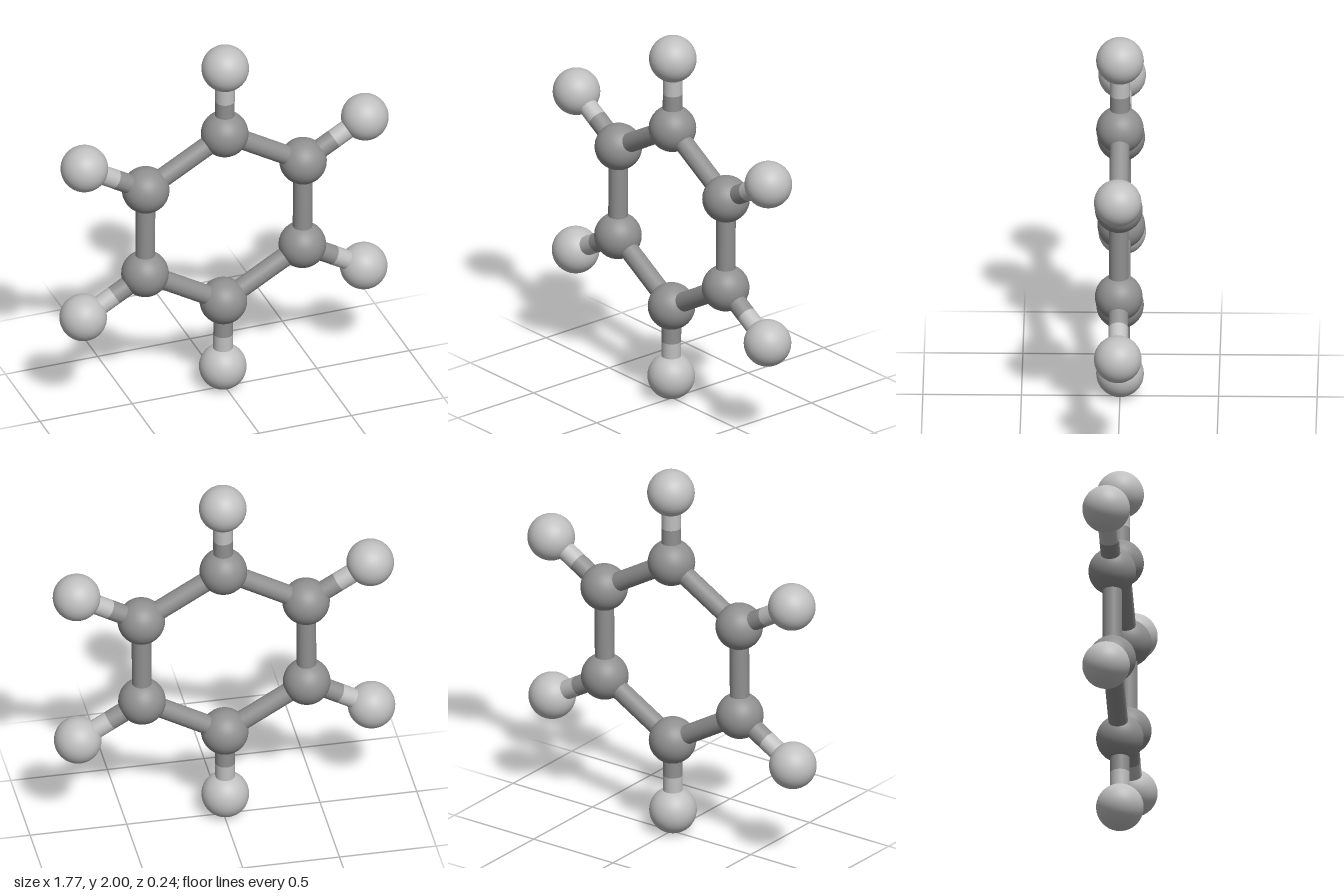
import * as THREE from 'three';

const RING_RADIUS = 0.492;
const OUTER_RADIUS = 0.877;
const BALL_RADIUS = 0.121;
const ROD_RADIUS = 0.05;
const TILT = -0.0074;

export function createModel() {
  const model = new THREE.Group();
  model.name = 'ballAndStickRing';

  const darkGrey = new THREE.MeshStandardMaterial({ color: 0x909090 });
  darkGrey.name = 'dark grey';
  const lightGrey = new THREE.MeshStandardMaterial({ color: 0xc0c0c0 });
  lightGrey.name = 'light grey';

  const ballGeometry = new THREE.SphereGeometry(BALL_RADIUS, 40, 28);

  function addBall(name, position, material) {
    const ball = new THREE.Mesh(ballGeometry, material);
    ball.name = name;
    ball.position.copy(position);
    model.add(ball);
  }

  // Straight rod between two points
  function addRod(name, from, to, material) {
    const direction = to.clone().sub(from);
    const geometry = new THREE.CylinderGeometry(ROD_RADIUS, ROD_RADIUS, direction.length(), 28, 1, true);
    const rod = new THREE.Mesh(geometry, material);
    rod.name = name;
    rod.position.copy(from).lerp(to, 0.5);
    rod.quaternion.setFromUnitVectors(new THREE.Vector3(0, 1, 0), direction.normalize());
    model.add(rod);
  }

  // Point on a circle around the ring centre, starting at the top
  function corner(index, radius) {
    const angle = Math.PI / 2 + TILT + (index * Math.PI) / 3;
    return new THREE.Vector3(-0.003 + radius * Math.cos(angle), 1.003 + radius * Math.sin(angle), 0);
  }

  for (let i = 0; i < 6; i++) {
    const inner = corner(i, RING_RADIUS);
    const outer = corner(i, OUTER_RADIUS);
    const middle = inner.clone().lerp(outer, 0.5);

    // Ring corner and the rod to the next corner
    addBall(`ringBall${i + 1}`, inner, darkGrey);
    addRod(`ringRod${i + 1}`, inner, corner(i + 1, RING_RADIUS), darkGrey);

    // Two-tone spoke and its outer ball
    addRod(`spokeInnerHalf${i + 1}`, inner, middle, darkGrey);
    addRod(`spokeOuterHalf${i + 1}`, middle, outer, lightGrey);
    addBall(`outerBall${i + 1}`, outer, lightGrey);
  }

  return model;
}
